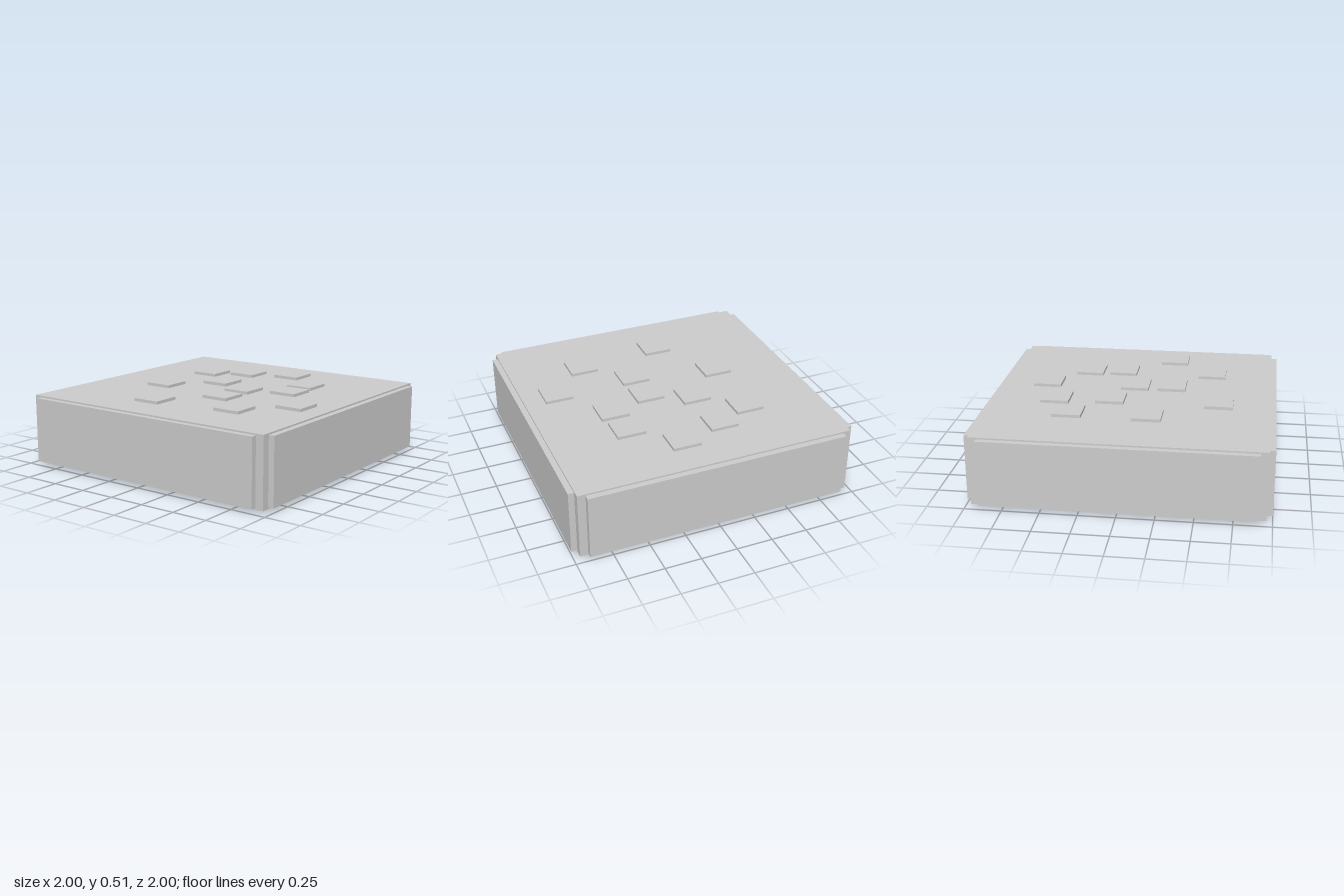
import * as THREE from 'three';

const material = new THREE.MeshStandardMaterial({ color: 0xcccccc, flatShading: true });

// Box given by its size and centre
function addBox(parent, name, [w, h, d], [x, y, z]) {
  const mesh = new THREE.Mesh(new THREE.BoxGeometry(w, h, d), material);
  mesh.name = name;
  mesh.position.set(x, y, z);
  parent.add(mesh);
}

export function createModel() {
  const group = new THREE.Group();
  group.name = 'tiledSlab';

  // Main block and the raised plate beneath it
  addBox(group, 'body', [1.92, 0.473, 1.92], [0, 0.2555, 0]);
  addBox(group, 'basePlate', [1.81, 0.04, 1.81], [0, 0.02, 0]);

  // Raised panels on the four sides
  const panelY = 0.255, panelH = 0.452, panelW = 1.81, depth = 0.06;
  for (const s of [-1, 1]) {
    addBox(group, s > 0 ? 'leftPanel' : 'rightPanel', [depth, panelH, panelW], [s * (1 - depth / 2), panelY, 0]);
    addBox(group, s > 0 ? 'frontPanel' : 'backPanel', [panelW, panelH, depth], [0, panelY, s * (1 - depth / 2)]);
  }

  // Square tiles scattered over the top: x, z of each centre
  const tiles = [
    [0.128, -0.645], [-0.195, -0.53], [-0.447, -0.4], [0.414, -0.38],
    [-0.163, -0.15], [0.436, -0.133], [0.128, -0.01], [-0.457, 0.14],
    [0.136, 0.253], [0.719, 0.227], [0.433, 0.525], [-0.174, 0.605],
  ];
  tiles.forEach(([x, z], i) => addBox(group, `topTile${i + 1}`, [0.198, 0.04, 0.198], [x, 0.493, z]));

  return group;
}
